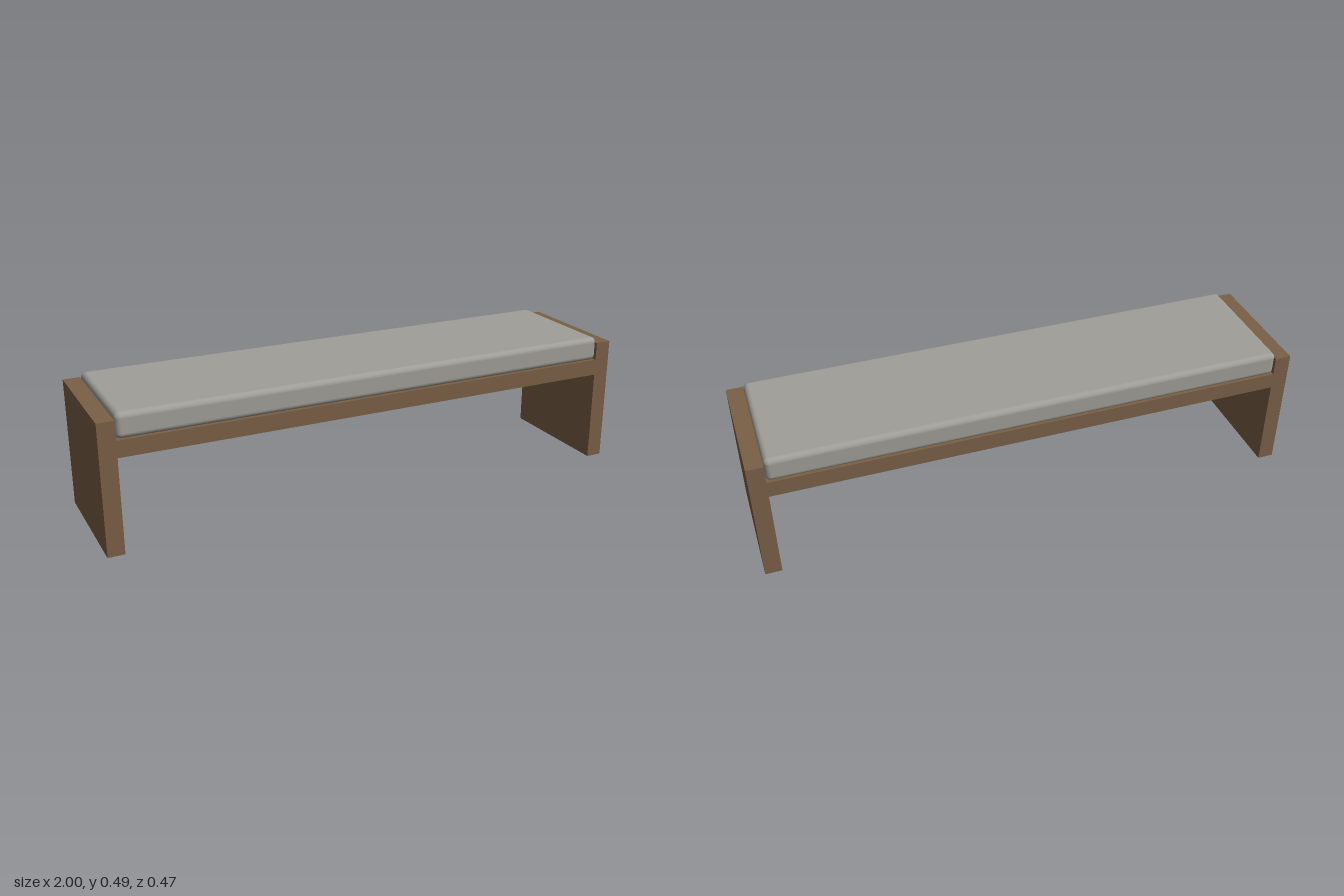
import * as THREE from 'three';
import { RoundedBoxGeometry } from 'three/addons/geometries/RoundedBoxGeometry.js';

const DEPTH = 0.47;
const PANEL = 0.06;      // board thickness
const PANEL_TOP = 0.472;
const SEAT_TOP = 0.404;

export function createModel() {
  const bench = new THREE.Group();
  bench.name = 'bench';

  const wood = new THREE.MeshStandardMaterial({ color: 0x7a6047 });
  wood.name = 'brown wood';
  const fabric = new THREE.MeshStandardMaterial({ color: 0xa09e98 });
  fabric.name = 'grey fabric';

  const add = (name, geometry, material, x, y) => {
    const mesh = new THREE.Mesh(geometry, material);
    mesh.name = name;
    mesh.position.set(x, y, 0);
    bench.add(mesh);
  };

  // Solid end panels that serve as legs
  for (const [name, side] of [['leftEndPanel', 1], ['rightEndPanel', -1]]) {
    add(name, new THREE.BoxGeometry(PANEL, PANEL_TOP, DEPTH), wood,
      side * (1 - PANEL / 2), PANEL_TOP / 2);
  }

  // Seat board between the panels
  const inner = 2 - 2 * PANEL;
  add('seatBoard', new THREE.BoxGeometry(inner, PANEL, DEPTH), wood, 0, SEAT_TOP - PANEL / 2);

  // Soft-edged cushion, standing slightly above the panels
  const cushionHeight = 0.09;
  add('cushion', new RoundedBoxGeometry(inner, cushionHeight, DEPTH, 5, 0.02), fabric,
    0, SEAT_TOP + cushionHeight / 2);

  return bench;
}
